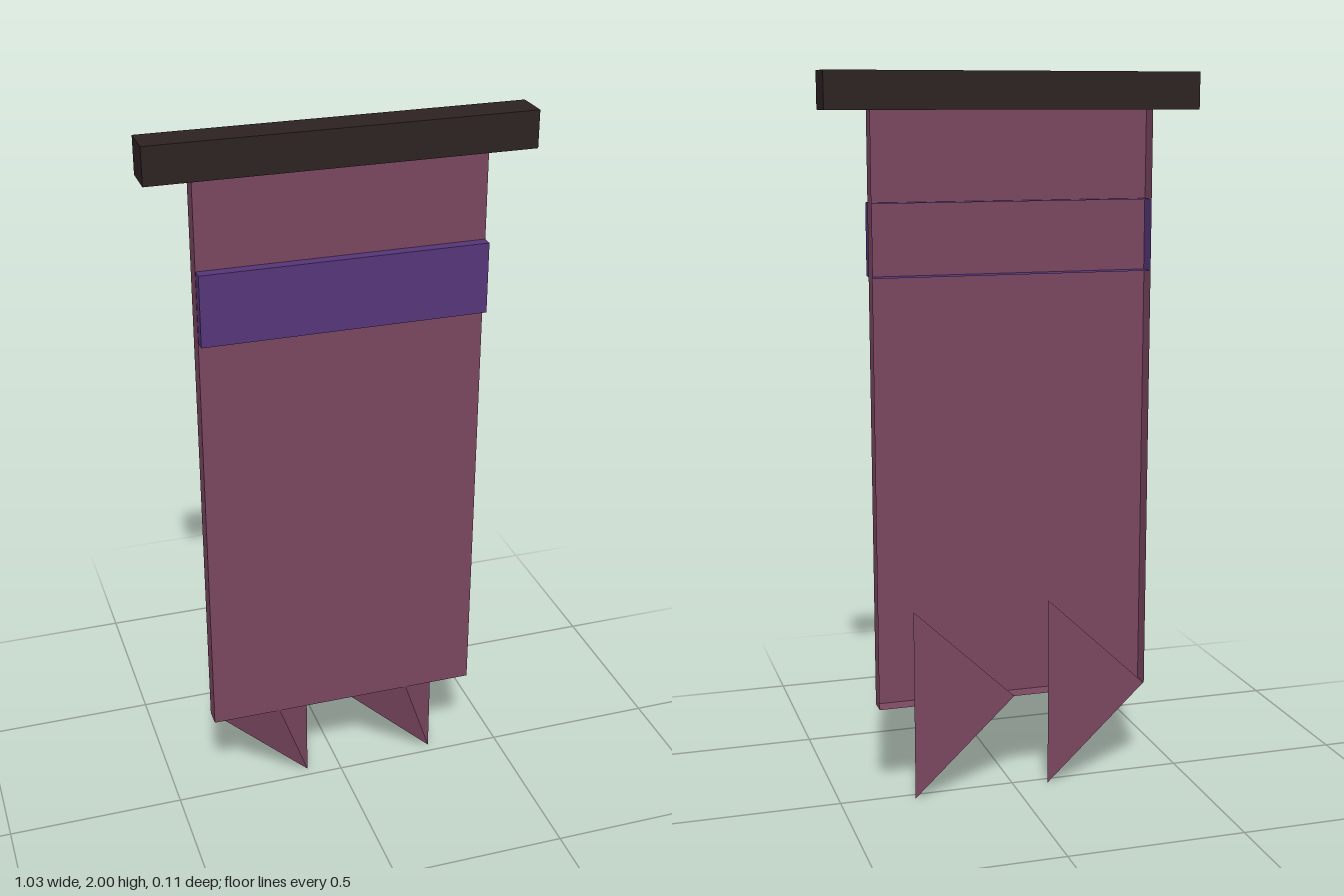
import * as THREE from 'three';

const material = (name, color, extra = {}) => {
  const m = new THREE.MeshStandardMaterial({ color, ...extra });
  m.name = name;
  return m;
};

// Box given by its limits; the rear (-z) face can be left open
function box(x, y0, y1, z0, z1, openBack = false) {
  const g = new THREE.BoxGeometry(2 * x, y1 - y0, z1 - z0);
  if (openBack) {
    g.setIndex(Array.from(g.index.array).slice(0, 30));
    g.clearGroups();
  }
  return g.translate(0, (y0 + y1) / 2, (z0 + z1) / 2);
}

export function createModel() {
  const group = new THREE.Group();
  const cloth = material('plum cloth', 0x7a4760, { side: THREE.DoubleSide, flatShading: true });
  const purple = material('purple band', 0x553578, { side: THREE.DoubleSide });
  const wood = material('dark wood', 0x2d2222);

  const add = (name, geometry, mat) => {
    const mesh = new THREE.Mesh(geometry, mat);
    mesh.name = name;
    group.add(mesh);
    return mesh;
  };

  const back = -0.028, front = 0.022, hem = 0.273;

  // Hanging bar
  add('crossbar', box(0.515, 1.9, 2, -0.053, 0.047), wood);

  // Cloth shell, open at the rear, its top tucked into the bar
  add('bannerCloth', box(0.39, hem, 1.904, back, front, true), cloth);

  // Raised band, running back through the cloth
  add('band', box(0.3892, 1.465, 1.66, back, 0.053, true), purple);

  // Torn hem points: flat three-sided pyramids facing forward
  const r = 0.193, depth = front - back - 0.001;
  for (const [name, x] of [['rightHemPoint', -0.195], ['leftHemPoint', 0.195]]) {
    const g = new THREE.ConeGeometry(r, depth, 3)
      .rotateX(Math.PI / 2)
      .rotateZ(-Math.PI / 2)
      .scale(1, hem / (r * Math.sin(Math.PI / 3)), 1)
      .translate(x, hem, back + depth / 2);
    add(name, g, cloth);
  }
  return group;
}
